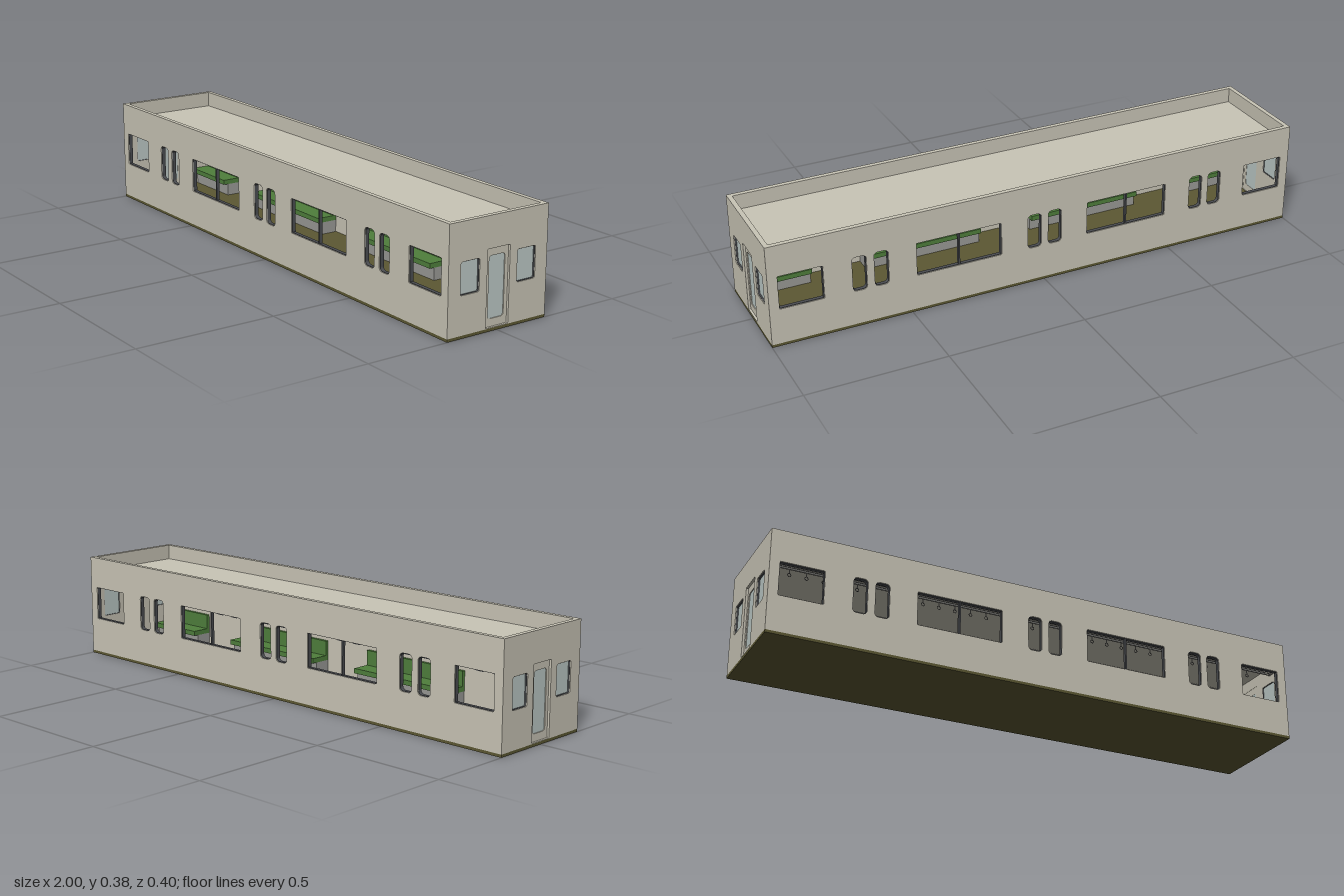
import * as THREE from 'three';

const mat = (name, color, side = THREE.FrontSide) => {
  const m = new THREE.MeshStandardMaterial({ color, side });
  m.name = name;
  return m;
};

// Closed rectangle with rounded corners, centred on (cx, cy)
function roundRect(path, cx, cy, w, h, r) {
  const x0 = cx - w / 2, x1 = cx + w / 2, y0 = cy - h / 2, y1 = cy + h / 2;
  path.moveTo(x0 + r, y0).lineTo(x1 - r, y0);
  path.absarc(x1 - r, y0 + r, r, -Math.PI / 2, 0, false);
  path.lineTo(x1, y1 - r);
  path.absarc(x1 - r, y1 - r, r, 0, Math.PI / 2, false);
  path.lineTo(x0 + r, y1);
  path.absarc(x0 + r, y1 - r, r, Math.PI / 2, Math.PI, false);
  path.lineTo(x0, y0 + r);
  path.absarc(x0 + r, y0 + r, r, Math.PI, Math.PI * 1.5, false);
  return path;
}

// Flat panel with rounded openings; every rectangle is [cx, cy, w, h, r]
function panel(outline, openings, depth) {
  const shape = roundRect(new THREE.Shape(), ...outline);
  for (const o of openings) shape.holes.push(roundRect(new THREE.Path(), ...o));
  return new THREE.ExtrudeGeometry(shape, { depth, bevelEnabled: false, curveSegments: 5 });
}

export function createModel() {
  const body = mat('bodyBeige', 0xc9c5b6);
  const floorMat = mat('floorOlive', 0x5c5833);
  const glass = mat('paleGlass', 0xbcc9c6);
  const frame = mat('frameGrey', 0x4a4c50);
  const cushion = mat('seatGreen', 0x4f7f3c);
  const metal = mat('railGrey', 0x9a9a96);

  const model = new THREE.Group();
  const add = (parent, name, geo, material, x = 0, y = 0, z = 0) => {
    const m = new THREE.Mesh(geo, material);
    m.name = name;
    m.position.set(x, y, z);
    parent.add(m);
    return m;
  };
  const box = (parent, name, material, w, h, d, x, y, z) =>
    add(parent, name, new THREE.BoxGeometry(w, h, d), material, x, y, z);

  const H = 0.377, T = 0.017, base = 0.01;
  const wallH = H - base, wallY = base + wallH / 2;

  box(model, 'floor', floorMat, 2, base, 0.4, 0, base / 2, 0);
  box(model, 'roof', body, 2 - 2 * T, 0.012, 0.4 - 2 * T, 0, 0.316, 0);

  // Side wall openings: wide windows and paired narrow door windows
  const wide = [-0.3225, 0.3225].map(x => [x, 0.201, 0.315, 0.123, 0.004]);
  const ends = [-0.8875, 0.8875].map(x => [x, 0.201, 0.157, 0.123, 0.004]);
  const doors = [-0.645, 0, 0.645].flatMap(x =>
    [-0.039, 0.039].map(dx => [x + dx, 0.201, 0.052, 0.129, 0.014]));
  const openings = [...wide, ...ends, ...doors];

  for (const [side, turn] of [['front', 0], ['back', Math.PI]]) {
    const wall = new THREE.Group();
    wall.name = side + 'Side';
    wall.rotation.y = turn;
    model.add(wall);
    add(wall, 'sideWall', panel([0, wallY, 2, wallH, 0], openings, T), body, 0, 0, 0.2 - T);

    // Dark linings and the central bar of the wide windows
    for (const [x, y, w, h, r] of openings) {
      const inner = [x, y, w - 0.004, h - 0.004, Math.max(r - 0.002, 0.001)];
      add(wall, 'windowLining', panel([x, y, w, h, r], [inner], T - 0.003), frame, 0, 0, 0.2 - T);
    }
    for (const [x, y, , h] of wide)
      box(wall, 'windowBar', frame, 0.006, h, 0.012, x, y, 0.19);

    // Benches between the doors
    for (const [x, w] of [[-0.3225, 0.44], [0.3225, 0.44], [-0.864, 0.23], [0.864, 0.23]]) {
      box(wall, 'benchBase', metal, w, 0.045, 0.06, x, base + 0.0225, 0.152);
      box(wall, 'benchSeat', cushion, w, 0.018, 0.08, x, 0.064, 0.143);
      box(wall, 'benchBack', cushion, w, 0.055, 0.012, x, 0.1, 0.177);
    }

    // Grab rail with hanging straps under the ceiling
    const rail = new THREE.CylinderGeometry(0.003, 0.003, 1.96, 8);
    add(wall, 'grabRail', rail, metal, 0, 0.297, 0.1).rotation.z = Math.PI / 2;
    for (let x = -0.9; x < 0.95; x += 0.06) {
      box(wall, 'strap', metal, 0.003, 0.018, 0.002, x, 0.288, 0.1);
      add(wall, 'strapRing', new THREE.TorusGeometry(0.006, 0.0012, 5, 10), frame, x, 0.274, 0.1);
    }
    for (let i = 0; i < 4; i++)
      box(wall, 'rackSlat', metal, 1.96, 0.003, 0.004, 0, 0.276, 0.135 + i * 0.013);
  }

  // End walls, each with a gangway door between two windows
  const endWindows = [-0.114, 0.114].map(z => [z, 0.194, 0.075, 0.108, 0.007]);
  const doorway = [0, 0.141, 0.091, 0.258, 0.003];
  const pane = [0, 0.141, 0.064, 0.206, 0.01];
  for (const [side, turn] of [['left', Math.PI / 2], ['right', -Math.PI / 2]]) {
    const end = new THREE.Group();
    end.name = side + 'End';
    end.rotation.y = turn;
    model.add(end);
    const W = 0.4 - 2 * T;
    add(end, 'endWall', panel([0, wallY, W, wallH, 0], [...endWindows, doorway], T), body, 0, 0, 1 - T);
    add(end, 'door', panel(doorway, [pane], 0.008), body, 0, 0, 0.984);
    add(end, 'doorGlass', panel(pane, [], 0.004), glass, 0, 0, 0.985);
    for (const o of endWindows) {
      const [z, y, w, h, r] = o;
      add(end, 'endWindowLining', panel(o, [[z, y, w - 0.003, h - 0.003, r - 0.001]], 0.013), frame, 0, 0, 0.984);
      add(end, 'endWindowGlass', panel(o, [], 0.004), glass, 0, 0, 0.987);
    }
  }
  return model;
}
